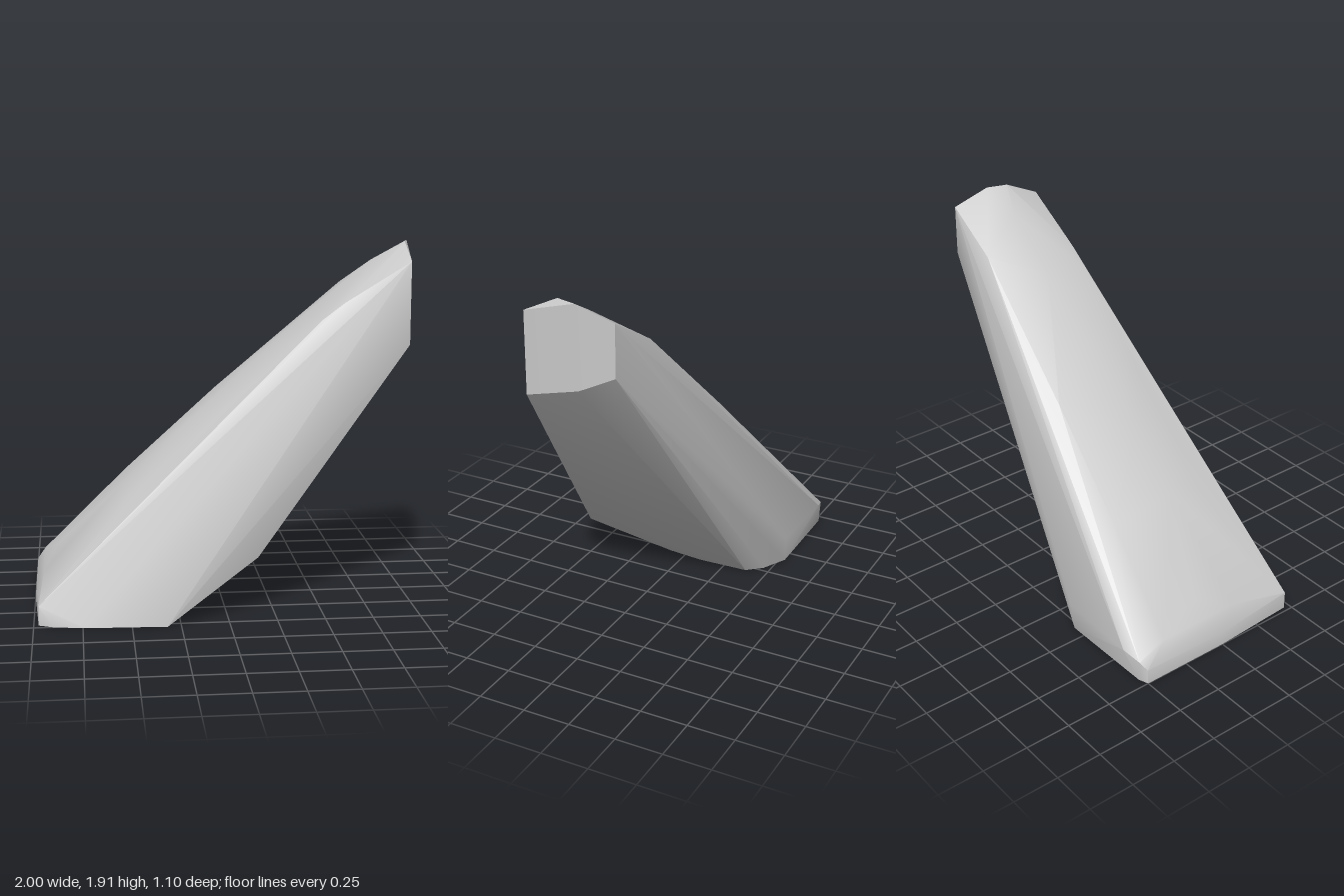
import * as THREE from 'three';
import { ConvexGeometry } from 'three/addons/geometries/ConvexGeometry.js';
import { toCreasedNormals } from 'three/addons/utils/BufferGeometryUtils.js';

// Flat end face at the raised tip
const tip = [
  [0.965, 1.39, 0.26], [0.965, 1.82, 0.26], [0.967, 1.91, 0.07],
  [1, 1.91, -0.04], [1, 1.85, -0.25], [1, 1.58, -0.25], [1, 1.48, -0.05],
];

// Footprint resting on the ground
const foot = [
  [-0.32, 0, 0.548], [-0.74, 0, 0.53], [-0.9, 0, 0.5], [-0.975, 0, 0.465],
  [-1, 0, 0], [-1, 0, -0.5], [-0.95, 0, -0.52], [-0.42, 0, -0.53],
  [-0.28, 0, -0.46], [-0.21, 0, -0.38], [-0.2, 0, -0.1], [-0.22, 0, 0.1],
];

// Rounded heel, widest part of the back side and the underside knee
const heel = [
  [-0.975, 0.1, 0.465], [-0.995, 0.07, 0], [-0.995, 0.08, -0.5],
  [-0.95, 0.18, 0.1], [-0.95, 0.18, -0.36], [-0.96, 0.12, -0.525],
  [-0.86, 0.15, -0.55], [-0.4, 0.15, -0.54],
  [0.16, 0.31, 0.4],
];

// Upper surface: front shoulder, crest and back shoulder
const upper = [
  [-0.5, 0.61, 0.25], [0, 1.07, 0.255], [0.5, 1.52, 0.26], [0.62, 1.61, 0.26],
  [-0.88, 0.27, -0.1], [-0.5, 0.66, 0.05], [-0.2, 0.945, 0.05],
  [0.15, 1.26, 0.03], [0.5, 1.565, 0], [0.8, 1.81, 0],
  [-0.87, 0.26, -0.35], [-0.5, 0.63, -0.33], [0, 1.09, -0.3], [0.68, 1.67, -0.26],
];

export function createModel() {
  const group = new THREE.Group();
  group.name = 'leaningBlock';
  const points = [...tip, ...foot, ...heel, ...upper].map((p) => new THREE.Vector3(...p));
  // Shallow facets blend together, while the end face and base stay crisp
  const geometry = toCreasedNormals(new ConvexGeometry(points), THREE.MathUtils.degToRad(28));
  const body = new THREE.Mesh(geometry, new THREE.MeshStandardMaterial({ color: 0xcccccc }));
  body.name = 'taperedBody';
  group.add(body);
  return group;
}
